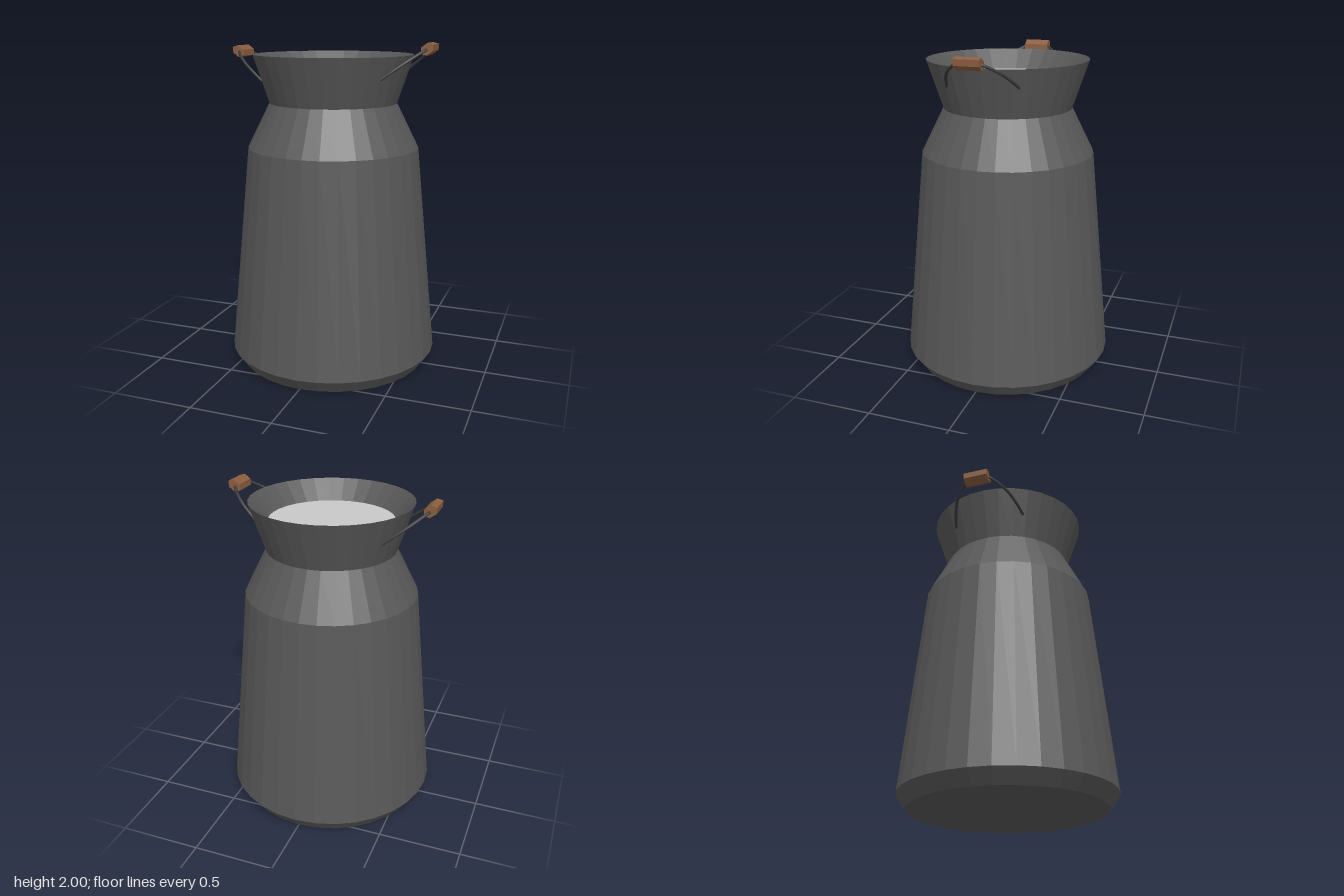
import * as THREE from 'three';

const mat = (name, color, extra = {}) => {
  const m = new THREE.MeshStandardMaterial({ color, ...extra });
  m.name = name;
  return m;
};

export function createModel() {
  const iron = mat('dark iron', 0x595959, { flatShading: true });
  const wire = mat('wire', 0x3c3c3c);
  const wood = mat('brown wood', 0x8b5e40, { flatShading: true });
  const milk = mat('milk', 0xc8c8c8);

  const root = new THREE.Group();
  root.name = 'milkCan';
  const add = (parent, name, geometry, material) => {
    const mesh = new THREE.Mesh(geometry, material);
    mesh.name = name;
    parent.add(mesh);
    return mesh;
  };

  // Can: base, tapered body, shoulder, flared neck and inner lip
  const profile = [
    [0, 0], [0.59, 0], [0.65, 0.085], [0.525, 1.365],
    [0.39, 1.635], [0.487, 1.925], [0.375, 1.81],
  ].map(([r, y]) => new THREE.Vector2(r, y));
  add(root, 'can', new THREE.LatheGeometry(profile, 32), iron);

  // Milk surface inside the neck
  const surface = new THREE.CircleGeometry(0.375, 32).rotateX(-Math.PI / 2);
  add(root, 'milkSurface', surface, milk).position.y = 1.81;

  // Bail handle: x runs outward from the neck, z along the grip
  const arc = [[-0.02, 0.225], [0.07, 0.2], [0.16, 0.16], [0.235, 0.1], [0.265, 0.06]];
  const points = [
    ...arc.map(([x, z]) => new THREE.Vector3(x, 0, z)),
    ...arc.slice().reverse().map(([x, z]) => new THREE.Vector3(x, 0, -z)),
  ];
  const wireGeo = new THREE.TubeGeometry(new THREE.CatmullRomCurve3(points), 40, 0.009, 8);

  // Six-sided grip, stretched along the slope of the handle
  const gripGeo = new THREE.CylinderGeometry(0.036, 0.036, 0.15, 6)
    .rotateY(Math.PI / 2).rotateX(Math.PI / 2).scale(1.25, 0.9, 1);

  const addHandle = (name, x, y, z, turn) => {
    const handle = new THREE.Group();
    handle.name = name;
    handle.position.set(x, y, z);
    handle.rotation.set(0, turn, 0.63);
    add(handle, 'handleWire', wireGeo, wire);
    add(handle, 'handleGrip', gripGeo, wood).position.x = 0.265;
    root.add(handle);
  };
  addHandle('leftHandle', 0.38, 1.808, 0.013, 0);
  addHandle('rightHandle', -0.385, 1.78, 0, Math.PI);

  return root;
}
